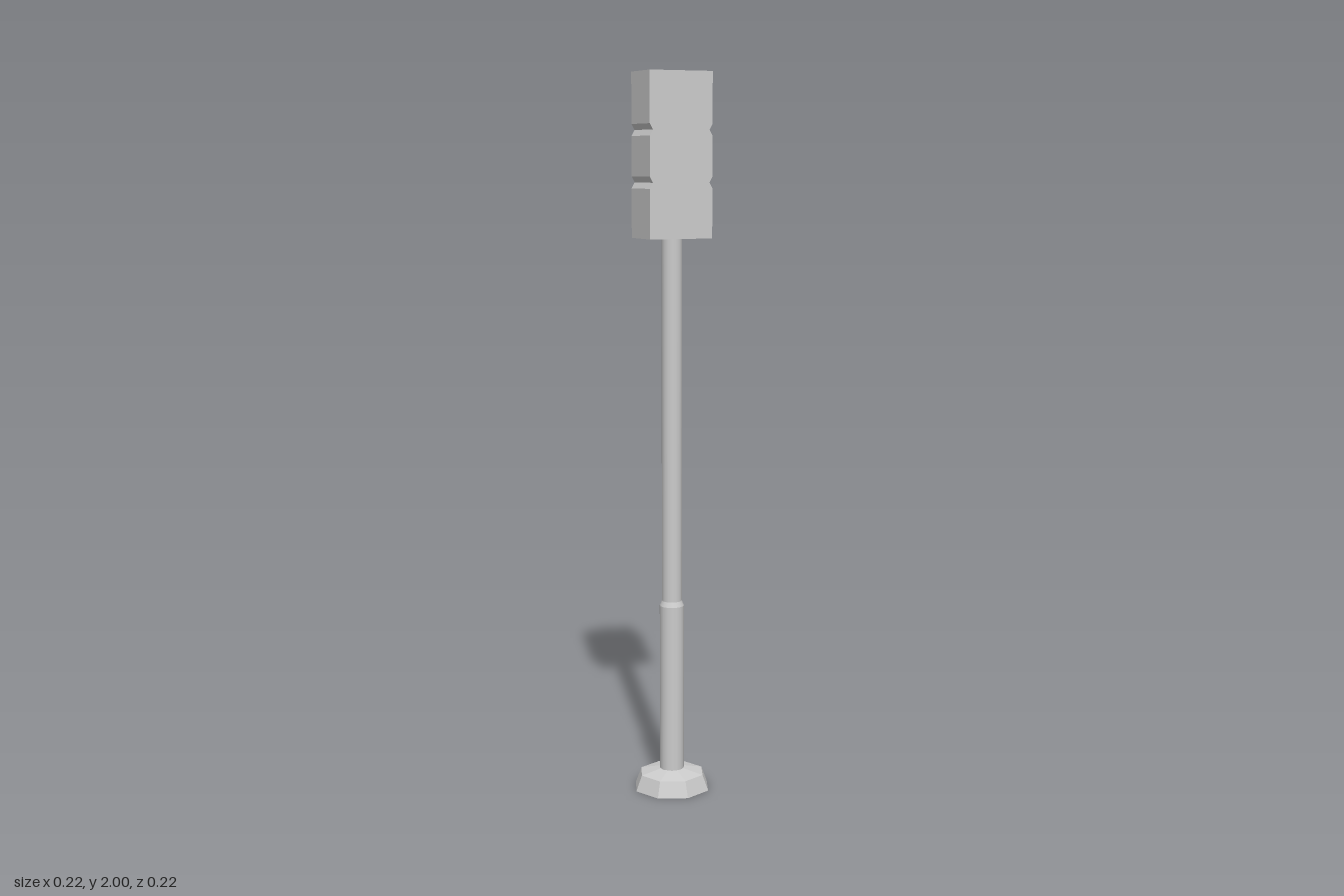
import * as THREE from 'three';

const flat = new THREE.MeshStandardMaterial({ color: 0xcccccc, flatShading: true });
const thin = new THREE.MeshStandardMaterial({ color: 0xcccccc, flatShading: true, side: THREE.DoubleSide });
const smooth = new THREE.MeshStandardMaterial({ color: 0xcccccc });

function add(parent, name, geometry, material, x = 0, y = 0, z = 0) {
  const mesh = new THREE.Mesh(geometry, material);
  mesh.name = name;
  mesh.position.set(x, y, z);
  parent.add(mesh);
  return mesh;
}

// Housing outline with small V notches between the lamps
const W = 0.092, BOTTOM = 1.555, TOP = 2;
const LAMPS = [1.646, 1.775, 1.904];
const NOTCHES = [1.705, 1.845];
function housingShape() {
  const right = [[W, BOTTOM]];
  for (const y of NOTCHES) right.push([W, y - 0.016], [W - 0.009, y], [W, y + 0.016]);
  right.push([W, TOP]);
  const left = right.map(([x, y]) => [-x, y]).reverse();
  return new THREE.Shape([...right, ...left].map(([x, y]) => new THREE.Vector2(x, y)));
}

// Octagonal hood whose front edge slopes back towards the bottom
function visorGeometry(r, back) {
  const g = new THREE.CylinderGeometry(r, r, 1, 7, 1, true, -Math.PI * 0.875, Math.PI * 1.75);
  g.rotateX(-Math.PI / 2);
  const p = g.attributes.position;
  for (let i = 0; i < p.count; i++) {
    p.setZ(i, p.getZ(i) > 0 ? back : -0.087 - 0.43 * p.getY(i));
  }
  g.computeVertexNormals();
  return g;
}

export function createModel() {
  const model = new THREE.Group();
  model.name = 'trafficLight';

  // Hollow octagonal foot
  const foot = [[0.11, 0], [0.093, 0.044], [0.03, 0.058]].map(([x, y]) => new THREE.Vector2(x, y));
  add(model, 'foot', new THREE.LatheGeometry(foot, 8), thin);

  // Pole with a thicker lower sleeve
  add(model, 'lowerPole', new THREE.CylinderGeometry(0.034, 0.034, 0.49, 16), smooth, 0, 0.285);
  add(model, 'poleCollar', new THREE.CylinderGeometry(0.028, 0.034, 0.014, 16, 1, true), smooth, 0, 0.537);
  add(model, 'upperPole', new THREE.CylinderGeometry(0.028, 0.028, 1.03, 16), smooth, 0, 1.045);

  // Housing: solid back plus a raised rim around the lamps
  const head = new THREE.Group();
  head.name = 'signalHead';
  model.add(head);
  const recess = -0.032, face = -0.062;
  const body = new THREE.ExtrudeGeometry(housingShape(), { depth: 0.062 - recess, bevelEnabled: false });
  add(head, 'housing', body, flat, 0, 0, recess);
  const rim = housingShape();
  const ix = 0.079, iy0 = BOTTOM + 0.014, iy1 = TOP - 0.014;
  rim.holes.push(new THREE.Path([[-ix, iy0], [-ix, iy1], [ix, iy1], [ix, iy0]].map(([x, y]) => new THREE.Vector2(x, y))));
  add(head, 'housingRim', new THREE.ExtrudeGeometry(rim, { depth: recess - face, bevelEnabled: false }), flat, 0, 0, face);

  // Three lamps, each with a domed lens and a hood
  const lens = new THREE.SphereGeometry(0.05, 16, 6, 0, Math.PI * 2, 0, Math.PI / 2);
  lens.rotateX(-Math.PI / 2);
  lens.scale(1, 1, 0.8);
  const visor = visorGeometry(0.055, recess);
  for (const y of LAMPS) {
    add(head, 'lens', lens, smooth, 0, y, recess);
    add(head, 'visor', visor, thin, 0, y, 0);
  }
  return model;
}
